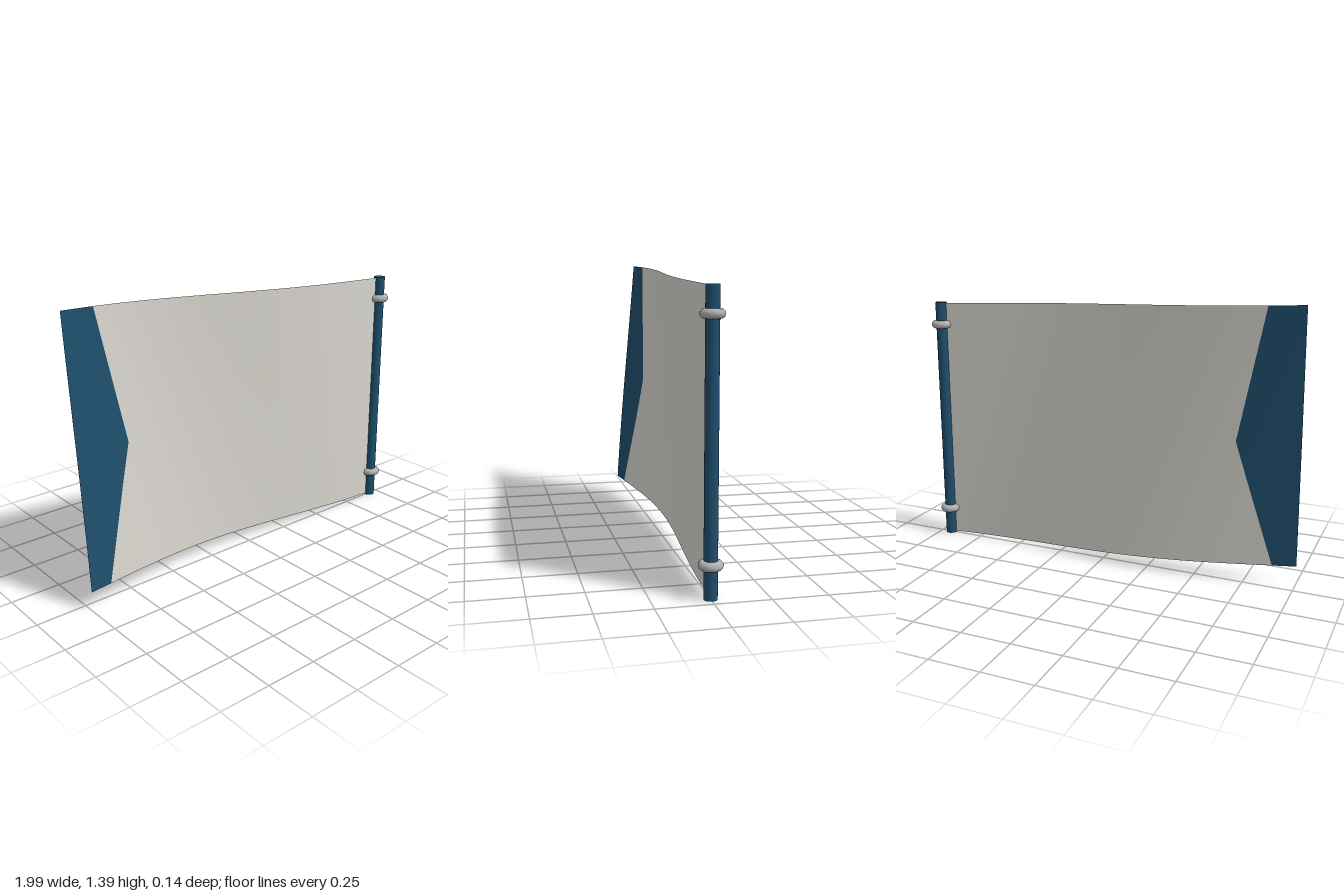
import * as THREE from 'three';

const POLE_X = 0.94, LENGTH = 1.94, HEIGHT = 1.29;

// Point on the waving cloth: u runs from pole to free end, v from bottom to top
function clothPoint(u, v) {
  const phase = 2.7 - 1.3 * v;
  return [
    POLE_X - LENGTH * u,
    0.005 + 0.095 * u + HEIGHT * v,
    0.09 * u * Math.sin(4.4 * u + phase),
  ];
}

// Pointed colour boundary across the cloth
function boundary(v) {
  return v < 0.5
    ? THREE.MathUtils.lerp(0.94, 0.845, v * 2)
    : THREE.MathUtils.lerp(0.845, 0.912, v * 2 - 1);
}

// Cloth panel between two limits, each a function of v
function clothPanel(from, to, cols, rows) {
  const pos = [], index = [];
  for (let j = 0; j <= rows; j++) {
    const v = j / rows;
    for (let i = 0; i <= cols; i++) {
      pos.push(...clothPoint(THREE.MathUtils.lerp(from(v), to(v), i / cols), v));
    }
  }
  for (let j = 0; j < rows; j++) {
    for (let i = 0; i < cols; i++) {
      const a = j * (cols + 1) + i, b = a + 1, c = a + cols + 1, d = c + 1;
      index.push(a, c, b, b, c, d);
    }
  }
  const geo = new THREE.BufferGeometry();
  geo.setAttribute('position', new THREE.Float32BufferAttribute(pos, 3));
  geo.setIndex(index);
  geo.computeVertexNormals();
  return geo;
}

export function createModel() {
  const group = new THREE.Group();
  group.name = 'flag';

  const cloth = new THREE.MeshStandardMaterial({ color: 0xd9d6cf, side: THREE.DoubleSide });
  cloth.name = 'off-white cloth';
  const blue = new THREE.MeshStandardMaterial({ color: 0x1f4e6d, side: THREE.DoubleSide });
  blue.name = 'deep blue';
  const metal = new THREE.MeshStandardMaterial({ color: 0xb0b3b3 });
  metal.name = 'grey metal';

  const add = (name, geo, mat, x = 0, y = 0) => {
    const mesh = new THREE.Mesh(geo, mat);
    mesh.name = name;
    mesh.position.set(x, y, 0);
    group.add(mesh);
    return mesh;
  };

  // Cloth: pale field and blue free end
  add('clothField', clothPanel(() => 0, boundary, 40, 24), cloth);
  add('clothEnd', clothPanel(boundary, () => 1, 8, 24), blue);

  // Pole and its two rings
  add('pole', new THREE.CylinderGeometry(0.03, 0.03, 1.3, 24), blue, POLE_X, 0.65);
  for (const [name, y] of [['lowerRing', 0.147], ['upperRing', 1.183]]) {
    add(name, new THREE.TorusGeometry(0.033, 0.021, 12, 32), metal, POLE_X, y).rotation.x = Math.PI / 2;
  }
  return group;
}
